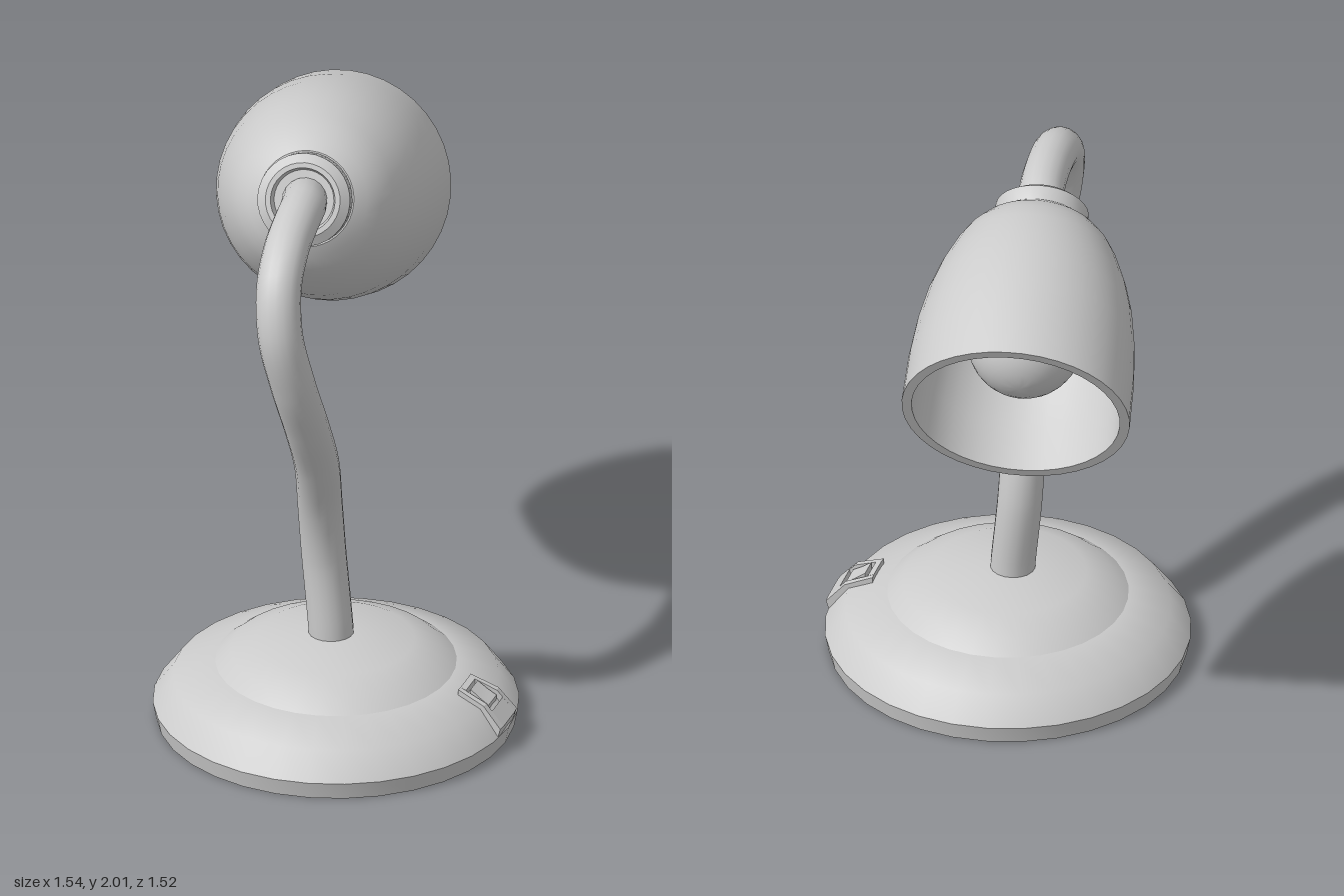
import * as THREE from 'three';
import { toCreasedNormals } from 'three/addons/utils/BufferGeometryUtils.js';

const material = new THREE.MeshStandardMaterial({ color: 0xcccccc });

function addMesh(parent, name, geometry) {
  const mesh = new THREE.Mesh(geometry, material);
  mesh.name = name;
  parent.add(mesh);
  return mesh;
}

// Revolve [radius, height] pairs, keeping strong corners sharp
function turned(profile, segments = 32, crease = 0.65) {
  const points = profile.map(([r, y]) => new THREE.Vector2(r, y));
  return toCreasedNormals(new THREE.LatheGeometry(points, segments), crease);
}

// Sloped slab on the base, fanning out with radius; a0 and a1 are angles in radians
function fanSlab(outline, a0, a1) {
  const shape = new THREE.Shape(outline.map(([r, y]) => new THREE.Vector2(r, y)));
  const geometry = new THREE.ExtrudeGeometry(shape, { depth: 1, bevelEnabled: false });
  const p = geometry.attributes.position;
  for (let i = 0; i < p.count; i++) {
    const angle = a0 + (a1 - a0) * p.getZ(i);
    const r = p.getX(i);
    p.setX(i, r * Math.cos(angle));
    p.setZ(i, r * Math.sin(angle));
  }
  return toCreasedNormals(geometry, 0.4);
}

function createBase() {
  const base = new THREE.Group();
  base.name = 'base';
  base.position.set(0.16, 0, 0.152);

  // Hollow foot ring and the shallow dome set on it
  addMesh(base, 'footRing', turned([
    [0.38, 0.175], [0.47, 0.135], [0.51, 0.06], [0.51, 0], [0.595, 0],
    [0.607, 0.06], [0.54, 0.15], [0.4, 0.205], [0.38, 0.205], [0.38, 0.175],
  ]));
  addMesh(base, 'dome', turned([
    [0, 0.28], [0.12, 0.275], [0.25, 0.255], [0.33, 0.22], [0.38, 0.18],
    [0.4, 0.205], [0.35, 0.245], [0.26, 0.285], [0.08, 0.309], [0, 0.31],
  ]));

  // Switch: four frame bars and a rocker, following the slope of the foot
  const toggle = new THREE.Group();
  toggle.name = 'switch';
  toggle.rotation.y = THREE.MathUtils.degToRad(22.5);
  base.add(toggle);
  const half = 0.132, inner = 0.092;
  const full = [[0.455, 0.17], [0.6, 0.05], [0.612, 0.092], [0.55, 0.163], [0.455, 0.203]];
  addMesh(toggle, 'switchSideBar', fanSlab(full, -half, -inner));
  addMesh(toggle, 'switchSideBar', fanSlab(full, inner, half));
  addMesh(toggle, 'switchUpperBar',
    fanSlab([[0.455, 0.17], [0.475, 0.16], [0.475, 0.196], [0.455, 0.203]], -inner, inner));
  addMesh(toggle, 'switchLowerBar',
    fanSlab([[0.56, 0.09], [0.6, 0.05], [0.612, 0.092], [0.57, 0.14]], -inner, inner));
  addMesh(toggle, 'switchRocker',
    fanSlab([[0.485, 0.15], [0.55, 0.12], [0.552, 0.152], [0.52, 0.172], [0.487, 0.197]], -0.07, 0.07));
  return base;
}

function createStem() {
  const stem = new THREE.Group();
  stem.name = 'stem';
  const path = new THREE.CatmullRomCurve3([
    [0.15, 0.23, 0.158], [0.145, 0.32, 0.16], [0.12, 0.6, 0.168], [0.137, 0.8, 0.205],
    [0.19, 1.0, 0.28], [0.24, 1.2, 0.385], [0.266, 1.4, 0.48], [0.255, 1.6, 0.53],
    [0.215, 1.75, 0.493], [0.16, 1.83, 0.4], [0.09, 1.858, 0.275], [0.02, 1.853, 0.16],
    [-0.045, 1.827, 0.08],
  ].map((p) => new THREE.Vector3(...p)));
  addMesh(stem, 'gooseneck', new THREE.TubeGeometry(path, 64, 0.075, 18, false));
  const cap = addMesh(stem, 'stemBottom', new THREE.CircleGeometry(0.075, 18));
  cap.position.copy(path.getPoint(0));
  cap.rotation.x = Math.PI / 2;
  return stem;
}

function createHead() {
  // Local +y runs from the collar out through the shade opening
  const head = new THREE.Group();
  head.name = 'head';
  head.position.set(-0.055, 1.82, 0.068);
  head.quaternion.setFromUnitVectors(
    new THREE.Vector3(0, 1, 0),
    new THREE.Vector3(-0.504, -0.4075, -0.7617).normalize(),
  );

  addMesh(head, 'collar', turned([
    [0, -0.025], [0.1, -0.025], [0.108, -0.055], [0.125, -0.055],
    [0.155, -0.032], [0.155, 0.035], [0.14, 0.06], [0, 0.06],
  ]));
  addMesh(head, 'shade', turned([
    [0, 0.025], [0.16, 0.025], [0.2, 0.055], [0.24, 0.1], [0.272, 0.155], [0.312, 0.25],
    [0.342, 0.35], [0.364, 0.47], [0.376, 0.6], [0.38, 0.768],
    [0.347, 0.768], [0.342, 0.6], [0.33, 0.47], [0.308, 0.35], [0.278, 0.25],
    [0.235, 0.155], [0.18, 0.085], [0, 0.07],
  ], 40, 0.6));

  // Bulb: a neck flowing into a round end
  const bulb = [[0.075, 0.06], [0.08, 0.22], [0.11, 0.31]];
  for (let i = 0; i <= 12; i++) {
    const a = -0.62 + (i / 12) * (Math.PI / 2 + 0.62);
    bulb.push([Math.max(0, 0.192 * Math.cos(a)), 0.48 + 0.192 * Math.sin(a)]);
  }
  addMesh(head, 'bulb', turned(bulb, 28, 1));
  return head;
}

export function createModel() {
  const lamp = new THREE.Group();
  lamp.name = 'deskLamp';
  lamp.add(createBase(), createStem(), createHead());
  return lamp;
}
